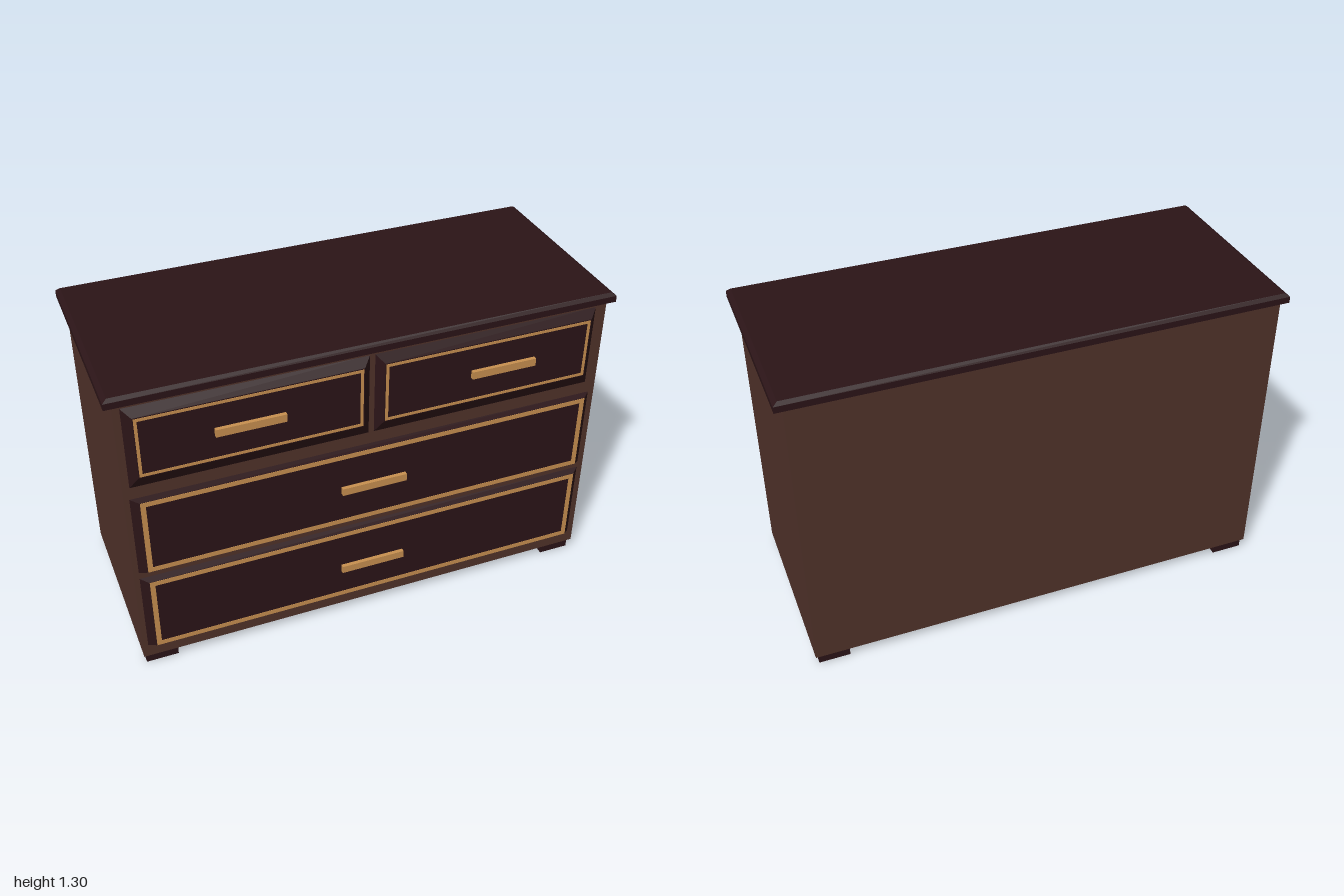
import * as THREE from 'three';

const material = (color) => new THREE.MeshStandardMaterial({ color, flatShading: true });

export function createModel() {
  const model = new THREE.Group();
  const wood = material(0x50322a);
  const darkWood = material(0x2b1417);
  const brass = material(0xc89050);

  const add = (parent, name, geometry, mat) => {
    const mesh = new THREE.Mesh(geometry, mat);
    mesh.name = name;
    parent.add(mesh);
    return mesh;
  };

  // Box given by its limits on each axis
  const box = (x0, x1, y0, y1, z0, z1) =>
    new THREE.BoxGeometry(x1 - x0, y1 - y0, z1 - z0)
      .translate((x0 + x1) / 2, (y0 + y1) / 2, (z0 + z1) / 2);

  // Box whose chosen face is moved in to a smaller rectangle, leaving sloped edges
  const reshape = (geometry, rule) => {
    const p = geometry.attributes.position;
    const v = new THREE.Vector3();
    for (let i = 0; i < p.count; i++) {
      v.fromBufferAttribute(p, i);
      rule(v);
      p.setXYZ(i, v.x, v.y, v.z);
    }
    geometry.computeVertexNormals();
    return geometry;
  };

  // Rectangular border with an open middle
  const border = (x0, x1, y0, y1, w, z0, z1) => {
    const rect = (C, a, b, c, d) => new C([[a, c], [b, c], [b, d], [a, d]]
      .map(([x, y]) => new THREE.Vector2(x, y)));
    const shape = rect(THREE.Shape, x0, x1, y0, y1);
    shape.holes.push(rect(THREE.Path, x0 + w, x1 - w, y0 + w, y1 - w));
    return new THREE.ExtrudeGeometry(shape, { depth: z1 - z0, bevelEnabled: false })
      .translate(0, 0, z0);
  };

  // Carcass
  add(model, 'cabinetBody', box(-0.97, 0.967, 0.045, 1.26, -0.413, 0.387), wood);

  // Top board: straight lower edge, chamfered upper edge
  const topBoard = new THREE.Group();
  topBoard.name = 'topBoard';
  model.add(topBoard);
  add(topBoard, 'topBoardEdge', box(-1, 1, 1.258, 1.284, -0.427, 0.4), darkWood);
  add(topBoard, 'topBoardSurface', reshape(box(-1, 1, 1.284, 1.297, -0.427, 0.4), (v) => {
    if (v.y > 1.29) {
      v.x -= Math.sign(v.x) * 0.018;
      v.z -= Math.sign(v.z) * 0.012;
    }
  }), darkWood);

  // Feet
  for (const [x0, x1] of [[-0.96, -0.829], [0.826, 0.954]]) {
    for (const [z0, z1] of [[-0.4, -0.367], [0.34, 0.374]]) {
      add(model, 'foot', box(x0, x1, 0, 0.047, z0, z1), darkWood);
    }
  }

  // Drawers: outer limits, raised panel limits, border width, handle centre
  const drawers = [
    { name: 'topRightDrawer', outer: [-0.944, -0.019, 0.896, 1.245],
      panel: [-0.91, -0.049, 0.951, 1.21], inset: 0.004, trim: 0.012, handle: [-0.489, 1.08] },
    { name: 'topLeftDrawer', outer: [0, 0.922, 0.896, 1.245],
      panel: [0.031, 0.893, 0.951, 1.21], inset: 0.004, trim: 0.012, handle: [0.521, 1.08] },
    { name: 'middleDrawer', outer: [-0.95, 0.943, 0.49, 0.846],
      panel: [-0.918, 0.913, 0.503, 0.838], inset: 0.001, trim: 0.02, handle: [-0.005, 0.669] },
    { name: 'bottomDrawer', outer: [-0.95, 0.943, 0.104, 0.46],
      panel: [-0.918, 0.913, 0.115, 0.45], inset: 0.001, trim: 0.02, handle: [-0.005, 0.266] },
  ];
  for (const { name, outer, panel, inset, trim, handle } of drawers) {
    const drawer = new THREE.Group();
    drawer.name = name;
    model.add(drawer);

    const midX = (outer[0] + outer[1]) / 2;
    const midY = (outer[2] + outer[3]) / 2;
    add(drawer, 'drawerFront', reshape(box(...outer, 0.38, 0.412), (v) => {
      if (v.z > 0.4) {
        v.x = v.x < midX ? panel[0] : panel[1];
        v.y = v.y < midY ? panel[2] : panel[3];
      } else {
        v.z = 0.386;
      }
    }), darkWood);

    const [x0, x1, y0, y1] = panel;
    add(drawer, 'drawerTrim',
      border(x0 + inset, x1 - inset, y0 + inset, y1 - inset, trim, 0.41, 0.4135), brass);

    const [hx, hy] = handle;
    add(drawer, 'drawerHandle',
      box(hx - 0.134, hx + 0.134, hy - 0.016, hy + 0.016, 0.41, 0.428), brass);
  }

  return model;
}
